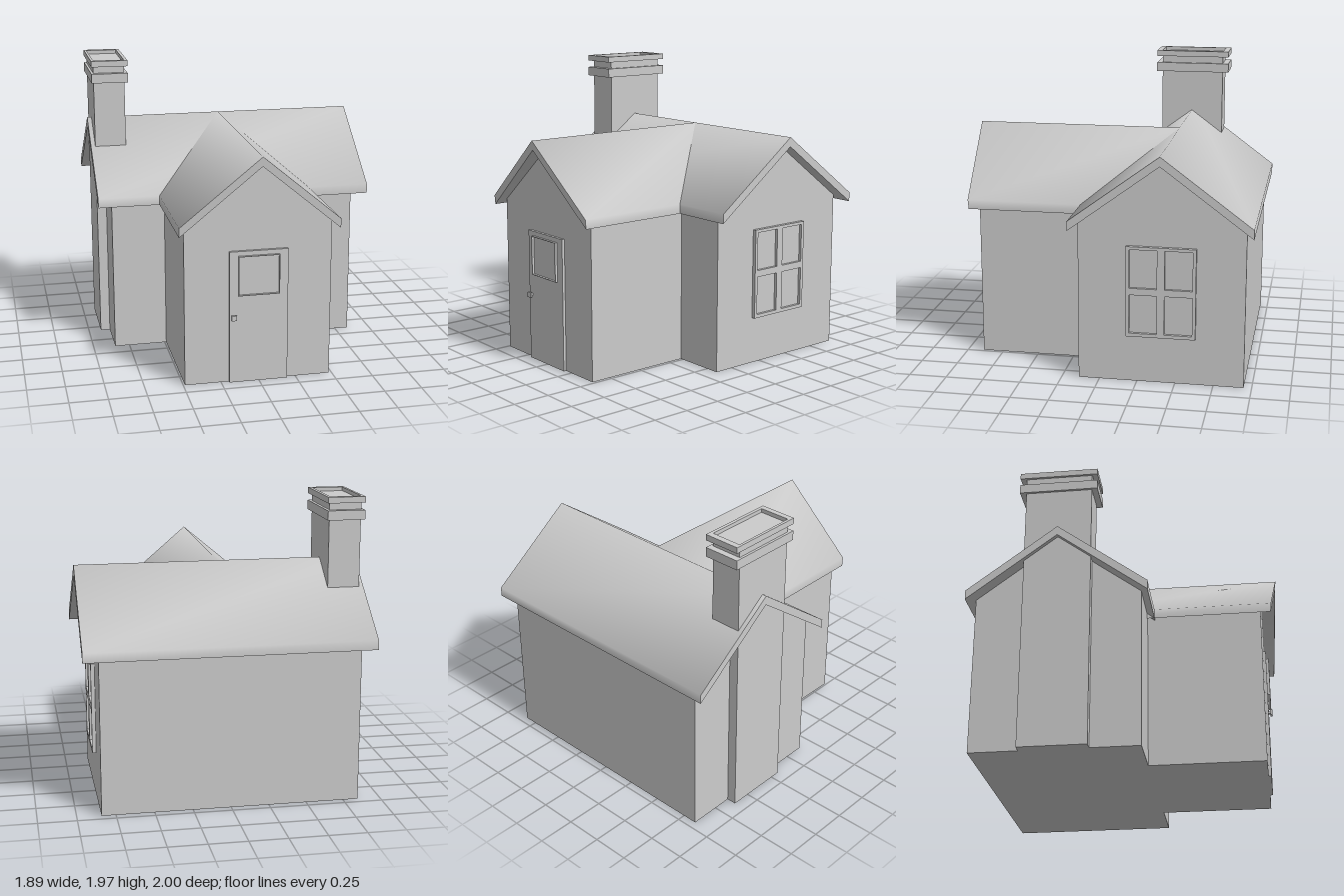
import * as THREE from 'three';
import { toCreasedNormals } from 'three/addons/utils/BufferGeometryUtils.js';

const material = new THREE.MeshStandardMaterial({ color: 0xcccccc });

function add(parent, name, geometry) {
  const mesh = new THREE.Mesh(geometry, material);
  mesh.name = name;
  parent.add(mesh);
  return mesh;
}

// Box given by its min and max corners
function box(parent, name, [x0, y0, z0], [x1, y1, z1]) {
  const mesh = add(parent, name, new THREE.BoxGeometry(x1 - x0, y1 - y0, z1 - z0));
  mesh.position.set((x0 + x1) / 2, (y0 + y1) / 2, (z0 + z1) / 2);
  return mesh;
}

function extrude(points, depth, holes = []) {
  const toShape = (list) => new THREE.Shape(list.map(([x, y]) => new THREE.Vector2(x, y)));
  const shape = toShape(points);
  shape.holes = holes.map(toShape);
  return new THREE.ExtrudeGeometry(shape, { depth, bevelEnabled: false });
}

const rect = (x0, y0, x1, y1) => [[x0, y0], [x1, y0], [x1, y1], [x0, y1]];

const RIDGE = 1.528, UNDER_RIDGE = 1.465, EAVE = 1.088, UNDER_EAVE = 1.025;

// Gabled walls: a five-sided section that ends under the roof
function gableWalls(half, roofHalf, depth) {
  const y = UNDER_RIDGE - (UNDER_RIDGE - UNDER_EAVE) * half / roofHalf;
  return extrude([[-half, 0], [half, 0], [half, y], [0, UNDER_RIDGE], [-half, y]], depth);
}

// Roof slab: a chevron section with upright eave edges
function gableRoof(half, depth) {
  return extrude([
    [-half, UNDER_EAVE], [0, UNDER_RIDGE], [half, UNDER_EAVE],
    [half, EAVE], [0, RIDGE], [-half, EAVE],
  ], depth);
}

export function createModel() {
  const house = new THREE.Group();
  house.name = 'cottage';
  const ridgeZ = -0.405;

  // Main block, gables facing left and right
  const mainWalls = add(house, 'mainWalls', gableWalls(0.543, 0.593, 1.692));
  mainWalls.rotation.y = Math.PI / 2;
  mainWalls.position.set(-0.85, 0, ridgeZ);

  const mainRoof = add(house, 'mainRoof', toCreasedNormals(gableRoof(0.593, 1.89), 1.4));
  mainRoof.rotation.y = Math.PI / 2;
  mainRoof.position.set(-0.945, 0, ridgeZ);

  // Front wing
  const wingWalls = add(house, 'wingWalls', gableWalls(0.485, 0.525, 0.77));
  wingWalls.position.set(-0.004, 0, 0.12);

  // Wing roof, its front edge leaning out toward the ridge
  const wingGeometry = gableRoof(0.525, 1);
  const p = wingGeometry.attributes.position;
  for (let i = 0; i < p.count; i++) {
    const front = 0.957 + 0.043 * (p.getY(i) - UNDER_EAVE) / (RIDGE - UNDER_EAVE);
    p.setZ(i, p.getZ(i) > 0.5 ? front : ridgeZ);
  }
  wingGeometry.computeVertexNormals();
  add(house, 'wingRoof', toCreasedNormals(wingGeometry, 1.4)).position.x = -0.004;

  // Chimney with two collars, the upper one an open rim
  const chimney = new THREE.Group();
  chimney.name = 'chimney';
  house.add(chimney);
  box(chimney, 'chimneyShaft', [-0.915, 0, -0.628], [-0.702, 1.94, -0.185]);
  box(chimney, 'chimneyCollar', [-0.931, 1.814, -0.67], [-0.682, 1.877, -0.146]);
  const rim = add(chimney, 'chimneyRim', extrude(
    rect(-0.931, 0.146, -0.682, 0.67), 0.04, [rect(-0.913, 0.183, -0.704, 0.63)]));
  rim.rotation.x = -Math.PI / 2;
  rim.position.y = 1.925;

  // Four-pane window on the left gable
  const sideWindow = new THREE.Group();
  sideWindow.name = 'sideWindow';
  sideWindow.position.set(0.842, 0, ridgeZ);
  sideWindow.rotation.y = Math.PI / 2;
  house.add(sideWindow);
  const panes = [];
  for (const [x0, x1] of [[-0.205, -0.025], [0.025, 0.205]])
    for (const [y0, y1] of [[0.337, 0.597], [0.642, 0.9]]) panes.push(rect(x0, y0, x1, y1));
  add(sideWindow, 'windowFrame', extrude(rect(-0.227, 0.314, 0.227, 0.92), 0.025, panes));
  box(sideWindow, 'windowGlass', [-0.215, 0.325, -0.01], [0.215, 0.91, 0.005]);

  // Door with a thin-edged window and a knob
  const door = new THREE.Group();
  door.name = 'door';
  house.add(door);
  box(door, 'doorPanel', [-0.197, 0, 0.88], [0.19, 0.894, 0.909]);
  const frame = add(door, 'doorWindowFrame', extrude(
    rect(-0.14, 0.598, 0.132, 0.864), 0.02, [rect(-0.136, 0.602, 0.128, 0.86)]));
  frame.position.z = 0.906;
  box(door, 'knobStem', [-0.178, 0.444, 0.9], [-0.162, 0.461, 0.925]);
  box(door, 'knob', [-0.187, 0.435, 0.92], [-0.153, 0.469, 0.935]);

  return house;
}
